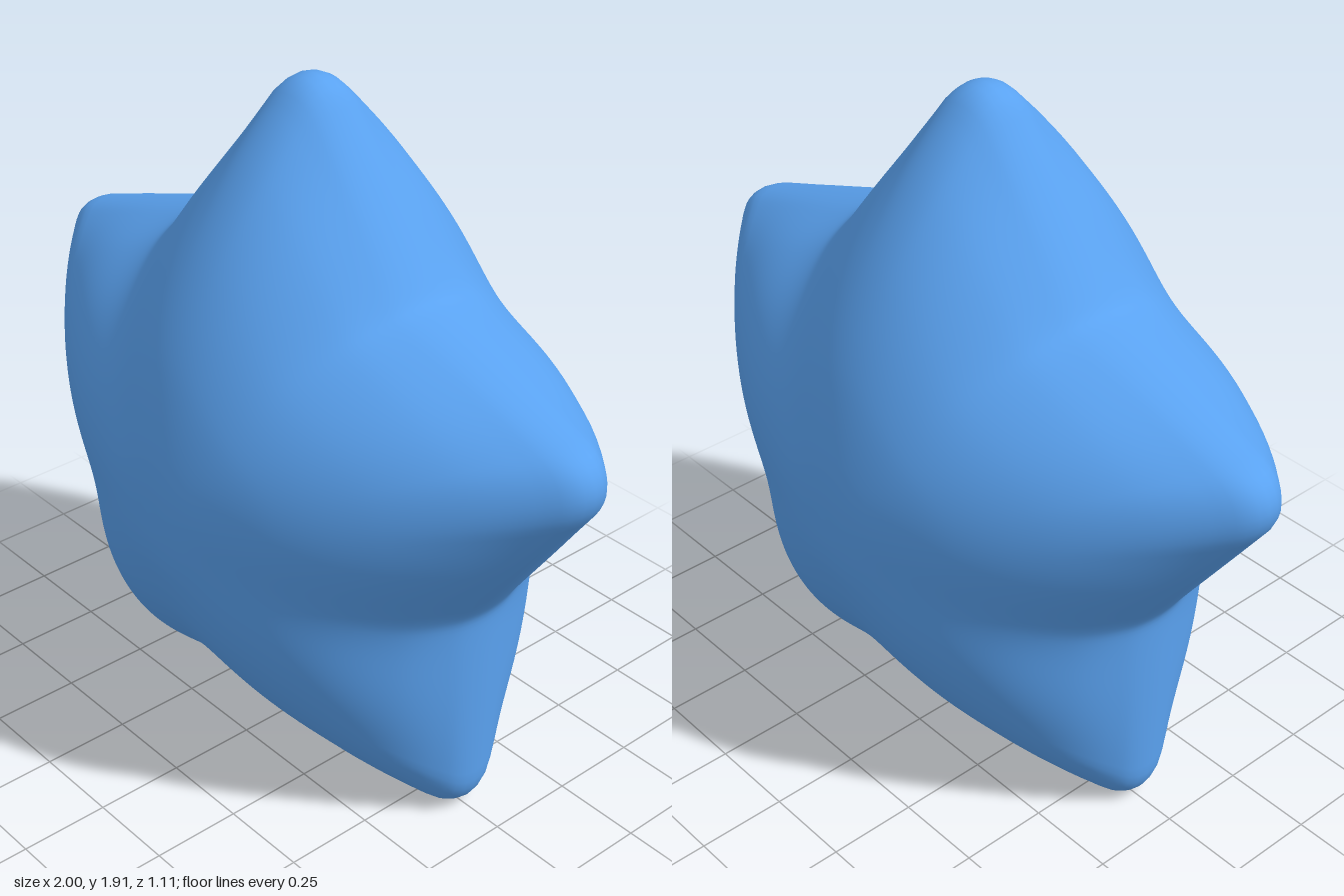
import * as THREE from 'three';

const SECTOR = Math.PI / 5;   // half of one arm's angle
const TIP = 1.046, VALLEY = 0.694, CENTRE_Y = 0.869;

// Radius of the five-pointed outline, a = angle away from the nearest arm axis
function outline(a) {
  const capRadius = 0.103, capCentre = TIP - capRadius;
  if (a < 0.0826) { // round tip
    return capCentre * Math.cos(a) + Math.sqrt(capRadius ** 2 - (capCentre * Math.sin(a)) ** 2);
  }
  const v = Math.hypot(SECTOR - a, 0.03); // softened valley
  return 0.661 / Math.cos(SECTOR - v - 0.939); // straight flank
}

function starGeometry(around = 300, layers = 96) {
  // Half profile: tip radius, valley radius, depth
  const half = [
    [0, 0, 0.556], [0.09, 0.09, 0.553], [0.2, 0.185, 0.538], [0.42, 0.365, 0.475],
    [0.63, 0.52, 0.37], [0.84, 0.635, 0.225], [0.985, 0.682, 0.1], [1.032, 0.691, 0.05],
  ];
  const back = half.map(([t, v, z]) => [t, v, -z]).reverse();
  const profile = new THREE.CatmullRomCurve3(
    [...half, [TIP, VALLEY, 0], ...back].map((p) => new THREE.Vector3(...p)));

  const positions = [], index = [];
  for (let j = 0; j <= layers; j++) {
    const { x: tip, y: valley, z } = profile.getPointAt(j / layers);
    // The outline melts into a soft wave towards the middle of each face
    const soft = THREE.MathUtils.smoothstep(Math.abs(z), 0, 0.45);
    for (let k = 0; k < around; k++) {
      const theta = (k / around) * Math.PI * 2;
      const turn = theta % (2 * SECTOR);
      const a = Math.min(turn, 2 * SECTOR - turn);
      const sharp = (outline(a) - VALLEY) / (TIP - VALLEY);
      const wave = (1 + Math.cos(5 * a)) / 2;
      const r = valley + (tip - valley) * THREE.MathUtils.lerp(sharp, wave, soft);
      positions.push(r * Math.sin(theta), r * Math.cos(theta), z);

      if (j < layers) {
        const n = (k + 1) % around;
        const A = j * around + k, D = j * around + n;
        const B = A + around, C = D + around;
        if (j < layers - 1) index.push(A, C, B);
        if (j > 0) index.push(A, D, C);
      }
    }
  }
  const geometry = new THREE.BufferGeometry();
  geometry.setAttribute('position', new THREE.Float32BufferAttribute(positions, 3));
  geometry.setIndex(index);
  geometry.computeVertexNormals();
  return geometry;
}

export function createModel() {
  const group = new THREE.Group();
  group.name = 'puffyStar';
  const star = new THREE.Mesh(starGeometry(), new THREE.MeshStandardMaterial({ color: 0x5aa2f0 }));
  star.name = 'starBody';
  star.position.y = CENTRE_Y;
  group.add(star);
  return group;
}
